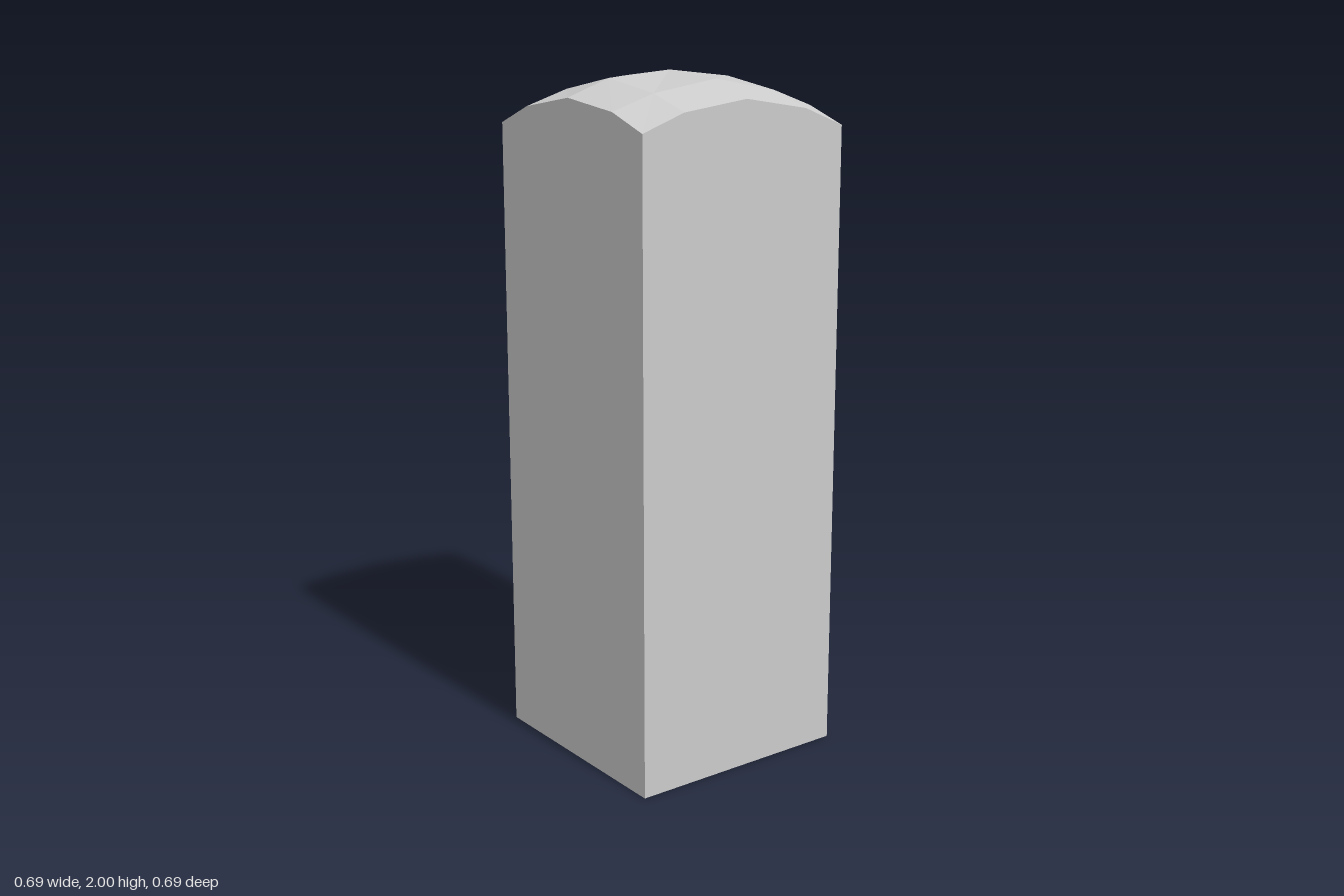
import * as THREE from 'three';

const RINGS = [0, 0.21, 0.345]; // distance of the grid lines from the centre
// Top height by ring in x and ring in z
const HEIGHTS = [
  [2.0, 1.98, 1.93],
  [1.98, 1.945, 1.9],
  [1.93, 1.9, 1.85],
];

export function createModel() {
  const group = new THREE.Group();
  group.name = 'domedPillar';

  // Square pillar, its top face subdivided and raised into a faceted dome
  const geometry = new THREE.BoxGeometry(4, 2, 4, 4, 1, 4);
  const pos = geometry.attributes.position;
  for (let i = 0; i < pos.count; i++) {
    const gx = Math.round(pos.getX(i));
    const gz = Math.round(pos.getZ(i));
    const rx = Math.abs(gx);
    const rz = Math.abs(gz);
    const y = pos.getY(i) > 0 ? HEIGHTS[rx][rz] : 0;
    pos.setXYZ(i, Math.sign(gx) * RINGS[rx], y, Math.sign(gz) * RINGS[rz]);
  }
  geometry.computeVertexNormals();

  const material = new THREE.MeshStandardMaterial({ color: 0xcccccc, flatShading: true });
  const pillar = new THREE.Mesh(geometry, material);
  pillar.name = 'pillar';
  group.add(pillar);
  return group;
}
